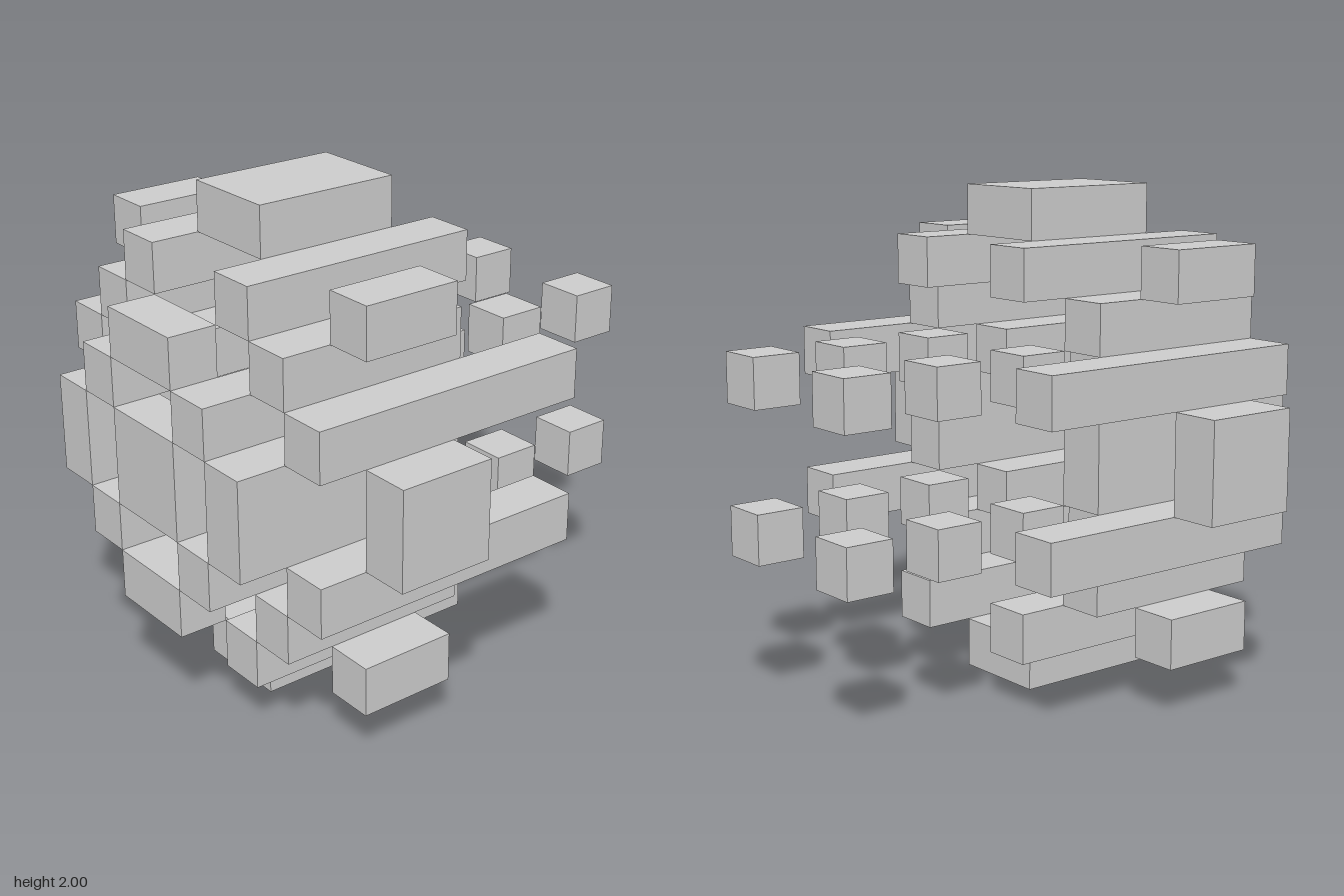
import * as THREE from 'three';

// Blocky shell of bars running front to back, mirrored left-right and top-bottom.
// Each part: name, x range, height range measured from the middle, z ranges.
const PARTS = [
  ['capBlock', [-0.2, 0.2], [0.8, 1], [[0, 0.6]]],
  ['cornerBlock', [0.6, 0.8], [0.6, 0.8], [[0.2, 0.6]]],
  ['upperBar', [0.2, 0.4], [0.6, 0.8], [[-0.2, 0.8]]],
  ['diagonalBar', [0.4, 0.6], [0.4, 0.6], [[0, 0.8]]],
  ['frontPlate', [-0.2, 0.2], [0.4, 0.6], [[0.8, 1]]],
  ['outerBar', [0.6, 0.8], [0.2, 0.4], [[-0.4, 0.8]]],
  // inner bar followed by a trail of separate cubes
  ['innerBar', [0.2, 0.4], [0.2, 0.4], [[0.2, 1]]],
  ['trailCube', [0.2, 0.4], [0.2, 0.4], [[-0.2, 0], [-0.6, -0.4], [-1, -0.8]]],
  ['sideBlock', [0.8, 1], [-0.2, 0.2], [[0.2, 0.6]]],
  ['middleBar', [0.4, 0.6], [-0.2, 0.2], [[0, 1]]],
  ['centrePlate', [-0.2, 0.2], [-0.2, 0.2], [[0.8, 1]]],
];

export function createModel() {
  const group = new THREE.Group();
  group.name = 'blockShell';
  const material = new THREE.MeshStandardMaterial({ color: 0xcccccc, flatShading: true });

  for (const [name, [x0, x1], [y0, y1], depths] of PARTS) {
    // parts straddling an axis are not mirrored across it
    const xSides = x0 < 0 ? [1] : [1, -1];
    const ySides = y0 < 0 ? [1] : [1, -1];
    for (const [z0, z1] of depths) {
      const geometry = new THREE.BoxGeometry(x1 - x0, y1 - y0, z1 - z0);
      for (const sx of xSides) {
        for (const sy of ySides) {
          const mesh = new THREE.Mesh(geometry, material);
          mesh.name = name;
          mesh.position.set(sx * (x0 + x1) / 2, 1 + sy * (y0 + y1) / 2, (z0 + z1) / 2);
          group.add(mesh);
        }
      }
    }
  }
  return group;
}
